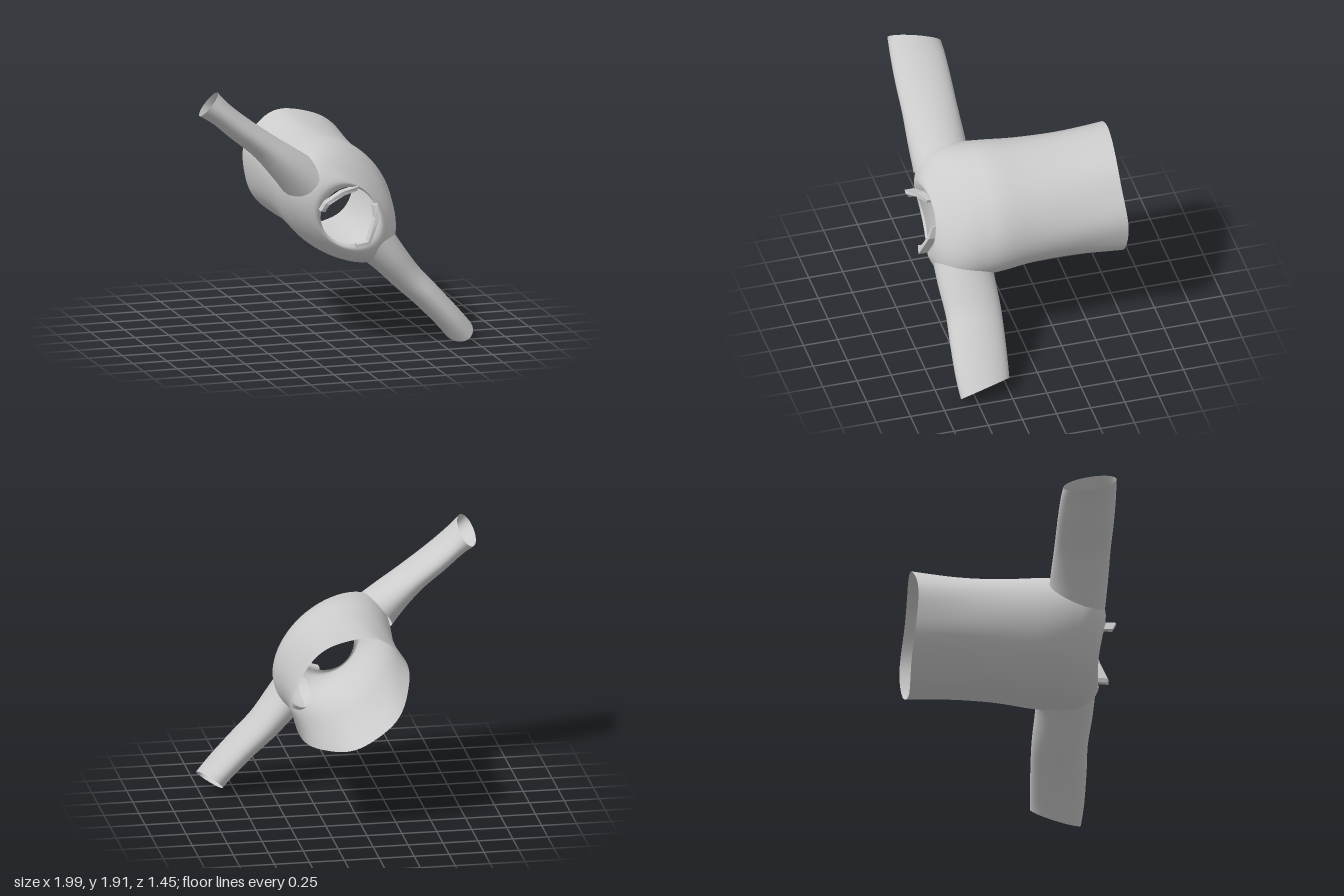
import * as THREE from 'three';

const DIAG = new THREE.Vector3(-1, 1, 0).normalize(); // shoulder line
const PERP = new THREE.Vector3(-1, -1, 0).normalize(); // chest to back

const cloth = new THREE.MeshStandardMaterial({ color: 0xcccccc, side: THREE.DoubleSide });
const trim = new THREE.MeshStandardMaterial({ color: 0xcccccc, side: THREE.DoubleSide, flatShading: true });

// Smooth sampling of a list of equally weighted stations
function sample(stations, t) {
  const f = t * (stations.length - 1);
  const i = Math.min(Math.floor(f), stations.length - 2);
  const u = f - i;
  const at = (k) => stations[Math.max(0, Math.min(stations.length - 1, k))];
  return at(i).map((p1, k) => {
    const p0 = at(i - 1)[k], p2 = at(i + 1)[k], p3 = at(i + 2)[k];
    return p1 + 0.5 * u * (p2 - p0 + u * (2 * p0 - 5 * p1 + 4 * p2 - p3 + u * (3 * (p1 - p2) + p3 - p0)));
  });
}

// Skin over closed rings of equal length
function loft(name, rings, material, capped = false) {
  const n = rings[0].length;
  const index = [];
  for (let i = 0; i < rings.length - 1; i++) {
    for (let j = 0; j < n; j++) {
      const a = i * n + j, b = i * n + (j + 1) % n;
      index.push(a, b, b + n, a, b + n, a + n);
    }
  }
  if (capped) {
    const e = (rings.length - 1) * n;
    index.push(0, 2, 1, 0, 3, 2, e, e + 1, e + 2, e, e + 2, e + 3);
  }
  const geo = new THREE.BufferGeometry().setFromPoints(rings.flat());
  geo.setIndex(index);
  geo.computeVertexNormals();
  const mesh = new THREE.Mesh(geo, material);
  mesh.name = name;
  return mesh;
}

// Torso tube from the hem to the neck opening
function makeBody() {
  // z, centre x, centre y, half size along the shoulders, half depth
  const stations = [
    [-0.72, 0.11, 1.055, 0.46, 0.38],
    [-0.4, 0.1, 1.05, 0.44, 0.36],
    [-0.1, 0.09, 1.045, 0.445, 0.36],
    [0.15, 0.085, 1.04, 0.47, 0.37],
    [0.3, 0.07, 1.03, 0.48, 0.35],
    [0.42, 0.06, 1.02, 0.48, 0.32],
    [0.52, 0.05, 1.01, 0.455, 0.285],
    [0.6, 0.05, 1.0, 0.38, 0.245],
    [0.645, 0.055, 1.0, 0.28, 0.215],
    [0.63, 0.06, 1.0, 0.215, 0.2],
  ];
  const rings = [];
  const rows = 54, sides = 72;
  for (let i = 0; i <= rows; i++) {
    const [z, cx, cy, a, b] = sample(stations, i / rows);
    const neck = THREE.MathUtils.smoothstep(z, 0.35, 0.63);
    const hem = 1 - THREE.MathUtils.smoothstep(z, -0.72, 0.1);
    const ring = [];
    for (let j = 0; j < sides; j++) {
      const q = (j / sides) * Math.PI * 2;
      const fold = 1 + 0.012 * hem * Math.sin(7 * q + 2 * z);
      const p = new THREE.Vector3(cx, cy, z)
        .addScaledVector(DIAG, a * fold * Math.cos(q))
        .addScaledVector(PERP, b * fold * Math.sin(q));
      p.z += 0.012 * hem * Math.sin(3 * q) - 0.045 * neck * Math.sin(q) ** 2;
      ring.push(p);
    }
    rings.push(ring);
  }
  return loft('body', rings, cloth);
}

// Flattened sleeve; stations are x, y, half thickness, half width, centre z, slant
function makeSleeve(name, stations) {
  const rings = [];
  const rows = 32, sides = 40;
  for (let i = 0; i <= rows; i++) {
    const t = i / rows;
    const [x, y, hw, hz, z, slant] = sample(stations, t);
    const s0 = sample(stations, Math.max(0, t - 0.02));
    const s1 = sample(stations, Math.min(1, t + 0.02));
    const along = new THREE.Vector3(s1[0] - s0[0], s1[1] - s0[1], 0).normalize();
    const ring = [];
    for (let j = 0; j < sides; j++) {
      const q = (j / sides) * Math.PI * 2;
      const dz = hz * Math.sin(q), dn = hw * Math.cos(q);
      ring.push(new THREE.Vector3(x - along.y * dn, y + along.x * dn, z + dz).addScaledVector(along, slant * dz));
    }
    rings.push(ring);
  }
  return loft(name, rings, cloth);
}

// Flat collar strip following points on the neck edge
function makeCollar(name, path) {
  const centre = new THREE.Vector3(0.06, 1.0, 0);
  const rings = path.map(([x, y, z]) => {
    const out = new THREE.Vector3(x, y, 0).sub(centre).normalize();
    return [[-0.015, -0.035], [0.015, -0.035], [0.015, 0.03], [-0.015, 0.03]].map(([r, h]) =>
      new THREE.Vector3(x, y, z + h).addScaledVector(out, r));
  });
  return loft(name, rings, trim, true);
}

export function createModel() {
  const group = new THREE.Group();
  group.name = 'garment';
  group.add(makeBody());
  group.add(makeSleeve('rightSleeve', [
    [-0.25, 1.27, 0.155, 0.205, 0.43, -0.35],
    [-0.36, 1.37, 0.13, 0.205, 0.43, 0],
    [-0.52, 1.51, 0.1, 0.2, 0.43, 0],
    [-0.7, 1.65, 0.092, 0.2, 0.43, 0],
    [-0.83, 1.76, 0.09, 0.195, 0.43, 0.1],
    [-0.92, 1.835, 0.105, 0.185, 0.43, 0.25],
  ]));
  group.add(makeSleeve('leftSleeve', [
    [0.31, 0.75, 0.155, 0.21, 0.42, -0.35],
    [0.4, 0.65, 0.13, 0.205, 0.42, 0],
    [0.54, 0.49, 0.11, 0.2, 0.41, 0],
    [0.68, 0.35, 0.1, 0.2, 0.42, 0],
    [0.83, 0.19, 0.095, 0.195, 0.43, 0.1],
    [0.92, 0.085, 0.095, 0.185, 0.43, 0.25],
  ]));
  group.add(makeCollar('backCollar', [
    [-0.155, 1.06, 0.66], [-0.13, 1.12, 0.69], [0.0, 1.175, 0.64], [0.12, 1.195, 0.6],
  ]));
  group.add(makeCollar('frontCollar', [
    [0.1, 0.79, 0.66], [0.18, 0.81, 0.68], [0.255, 0.98, 0.63], [0.255, 1.07, 0.6],
  ].reverse()));
  return group;
}
